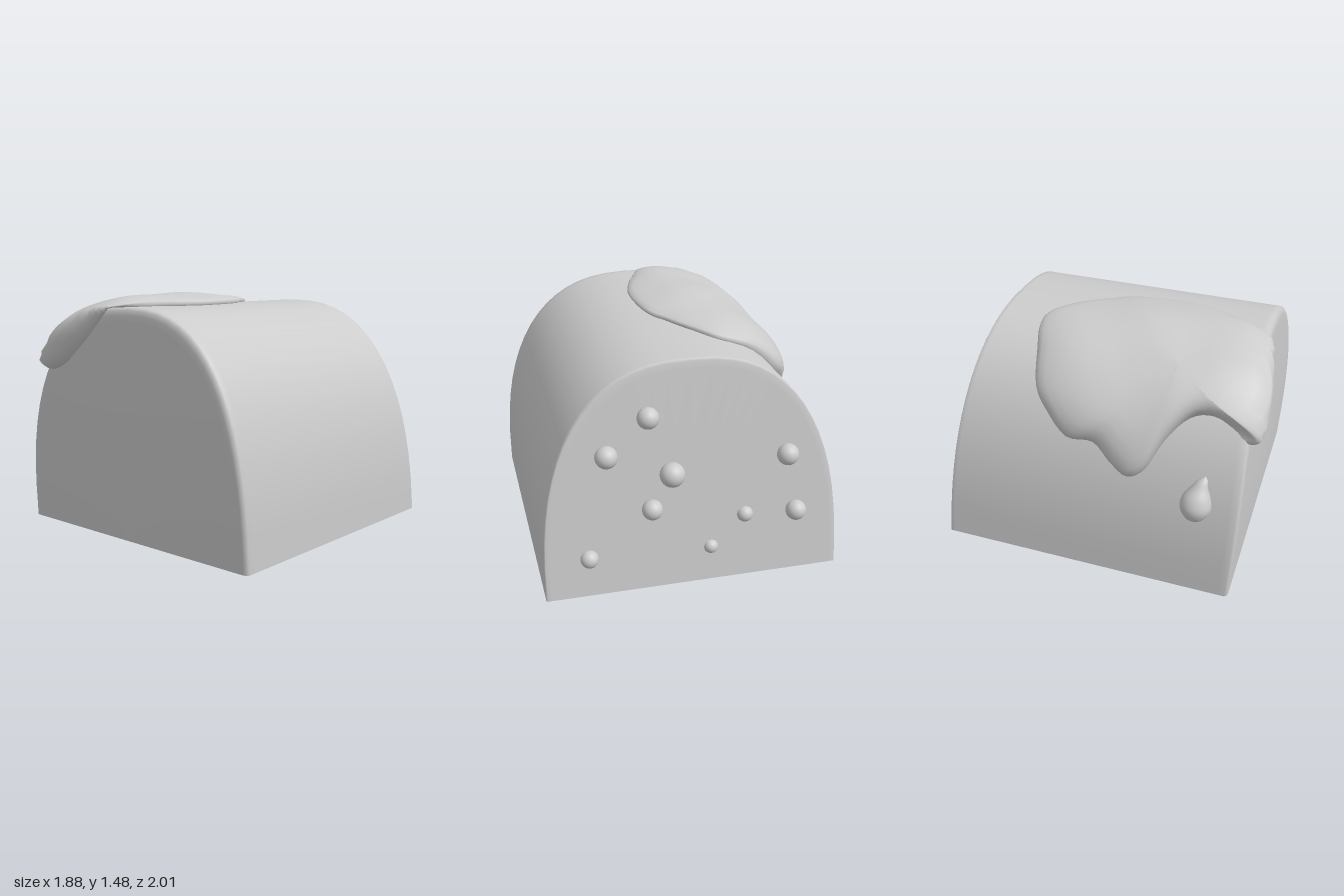
import * as THREE from 'three';

const MID = 0.02, HALF = 0.912, TOP = 1.41, POWER = 2.5;
const { smoothstep } = THREE.MathUtils;

// Point on the arch section; degrees run from the +x foot over the top to the -x foot.
function arch(deg) {
  const a = THREE.MathUtils.degToRad(deg);
  const c = Math.cos(a), s = Math.max(0, Math.sin(a));
  return new THREE.Vector2(
    MID + HALF * Math.sign(c) * Math.abs(c) ** (2 / POWER),
    deg <= 0 || deg >= 180 ? 0 : TOP * s ** (2 / POWER));
}

function archNormal(p) {
  const dx = (p.x - MID) / HALF, dy = p.y / TOP;
  return new THREE.Vector2(
    Math.sign(dx) * Math.abs(dx) ** (POWER - 1) / HALF,
    dy ** (POWER - 1) / TOP).normalize();
}

const frontZ = (x, y) => 0.895 - 0.015 * x + 0.024 * Math.sin(Math.PI * Math.min(1, y / TOP));
const backZ = (x, y) => -0.94 + 0.045 * x + 0.13 * y;

// Smooth surface through rows of points; closed joins the last column to the first.
function skin(rows, closed) {
  const n = rows[0].length, index = [];
  for (let i = 0; i < rows.length - 1; i++) {
    for (let j = 0; j < (closed ? n : n - 1); j++) {
      const k = (j + 1) % n;
      const a = i * n + j, b = (i + 1) * n + j, c = (i + 1) * n + k, d = i * n + k;
      index.push(a, b, d, b, c, d);
    }
  }
  const g = new THREE.BufferGeometry().setFromPoints(rows.flat());
  g.setIndex(index);
  g.computeVertexNormals();
  return g;
}

// Arched shell with bulged front, leaning back and open underside.
function bodyGeometry() {
  const stations = [
    // [scale of section, z rule, distance from the end]
    [0.001, frontZ, 0], [0.35, frontZ, 0], [0.7, frontZ, 0], [0.94, frontZ, 0],
    [0.968, frontZ, 0], [0.988, frontZ, -0.005], [1, frontZ, -0.02], [1, frontZ, -0.06],
    [1, backZ, 0.03], [1, backZ, 0.006], [0.992, backZ, 0], [0.96, backZ, 0],
    [0.7, backZ, 0], [0.35, backZ, 0], [0.001, backZ, 0]];
  const segments = 32;
  return skin(stations.map(([s, rule, dz]) => {
    const row = [];
    for (let j = 0; j <= segments; j++) {
      const p = arch(180 * j / segments);
      const x = MID + (p.x - MID) * s, y = p.y * s;
      row.push(new THREE.Vector3(x, y, rule(x, y) + dz));
    }
    return row;
  }), false);
}

// Place a patch point on the arch; past the front rim it folds down the face.
function onShell(deg, z, h) {
  const p = arch(deg), n = archNormal(p);
  const fold = Math.max(0, z - 0.9);
  const phi = smoothstep(z, 0.62, 0.96) * Math.PI / 2;
  const out = h * Math.cos(phi) - fold;
  return new THREE.Vector3(p.x + n.x * out, p.y + n.y * out, Math.min(z, 0.9) + h * Math.sin(phi));
}

// Thick dripping patch, outlined as [arch degrees, z]; thicker down the side than on top.
function puddleGeometry() {
  const outline = [
    [87, 0.2], [88, 0.02], [90, -0.13], [93, -0.27], [97, -0.38], [102, -0.47], [109, -0.48],
    [119, -0.44], [132, -0.39], [139, -0.3], [146, -0.15], [146, 0.02], [151, 0.14],
    [154, 0.25], [151, 0.35], [141, 0.45], [133, 0.57], [131, 0.7], [134, 0.83], [138, 0.93],
    [135, 1.0], [127, 1.05], [112, 1.04], [101, 0.97], [95, 0.88], [91.5, 0.76], [89, 0.57], [87, 0.38]];
  const curve = new THREE.CatmullRomCurve3(
    outline.map(([a, z]) => new THREE.Vector3(a, z, 0)), true, 'catmullrom', 0.5);
  const edge = curve.getPoints(112).slice(0, -1);
  const bump = (a, z) => 0.007 * Math.sin(a * 0.19 + z * 5) + 0.005 * Math.sin(z * 11 - a * 0.13);
  const ring = (t, side) => edge.map(e => {
    const a = 117 + (e.x - 117) * t, z = 0.45 + (e.y - 0.45) * t;
    const low = smoothstep(a, 100, 142);
    const round = Math.sqrt(Math.max(0, 1 - t ** (2.5 + 5.5 * low)));
    return onShell(a, z, side > 0 ? 0.01 + (0.08 + 0.05 * low + bump(a, z)) * round : 0.01 - 0.09 * round);
  });
  const steps = [0.001, 0.15, 0.3, 0.45, 0.6, 0.72, 0.82, 0.9, 0.95, 0.985];
  return skin([
    ...steps.map(t => ring(t, 1)), ring(1, 1),
    ...steps.slice().reverse().map(t => ring(t, -1))], true);
}

// Teardrop with a bent tail.
function dropGeometry() {
  const profile = new THREE.SplineCurve([
    [0, -0.125], [0.055, -0.105], [0.092, -0.04], [0.082, 0.03], [0.05, 0.09], [0.028, 0.135], [0, 0.16],
  ].map(([r, y]) => new THREE.Vector2(r, y))).getPoints(24);
  profile.forEach(p => { p.x = Math.max(0, p.x); });
  const g = new THREE.LatheGeometry(profile, 24);
  const pos = g.attributes.position;
  for (let i = 0; i < pos.count; i++) {
    const y = Math.max(0, pos.getY(i));
    pos.setX(i, pos.getX(i) * 0.9 + y * y);
    pos.setZ(i, pos.getZ(i) + y * y * 1.5);
  }
  g.computeVertexNormals();
  return g;
}

export function createModel() {
  const model = new THREE.Group();
  model.name = 'archedBlock';
  const grey = new THREE.MeshStandardMaterial({ color: 0xcccccc, side: THREE.DoubleSide });
  grey.name = 'plain grey';

  const add = (name, geometry) => {
    const mesh = new THREE.Mesh(geometry, grey);
    mesh.name = name;
    model.add(mesh);
    return mesh;
  };

  add('archedShell', bodyGeometry());
  add('drippingPatch', puddleGeometry());

  const drop = add('sideDrop', dropGeometry());
  drop.position.set(-0.862, 0.675, 0.675);
  drop.rotation.z = -0.18;

  // Beads scattered on the back: x, y, radius, how far they stand out
  const beads = [
    [0.28, 1.1, 0.065, 0.4], [0.53, 0.89, 0.067, 0.35], [0.15, 0.74, 0.075, 0.4],
    [0.275, 0.53, 0.062, 0.4], [0.66, 0.25, 0.055, 0.1], [-0.085, 0.22, 0.045, -0.2],
    [-0.3, 0.41, 0.05, -0.1], [-0.56, 0.78, 0.066, 0.35], [-0.615, 0.41, 0.063, 0.4]];
  const ball = new THREE.SphereGeometry(1, 24, 16);
  for (const [x, y, r, out] of beads) {
    const bead = add('backBead', ball);
    bead.scale.setScalar(r);
    bead.position.set(x, y, backZ(x, y) - out * r);
  }
  return model;
}
